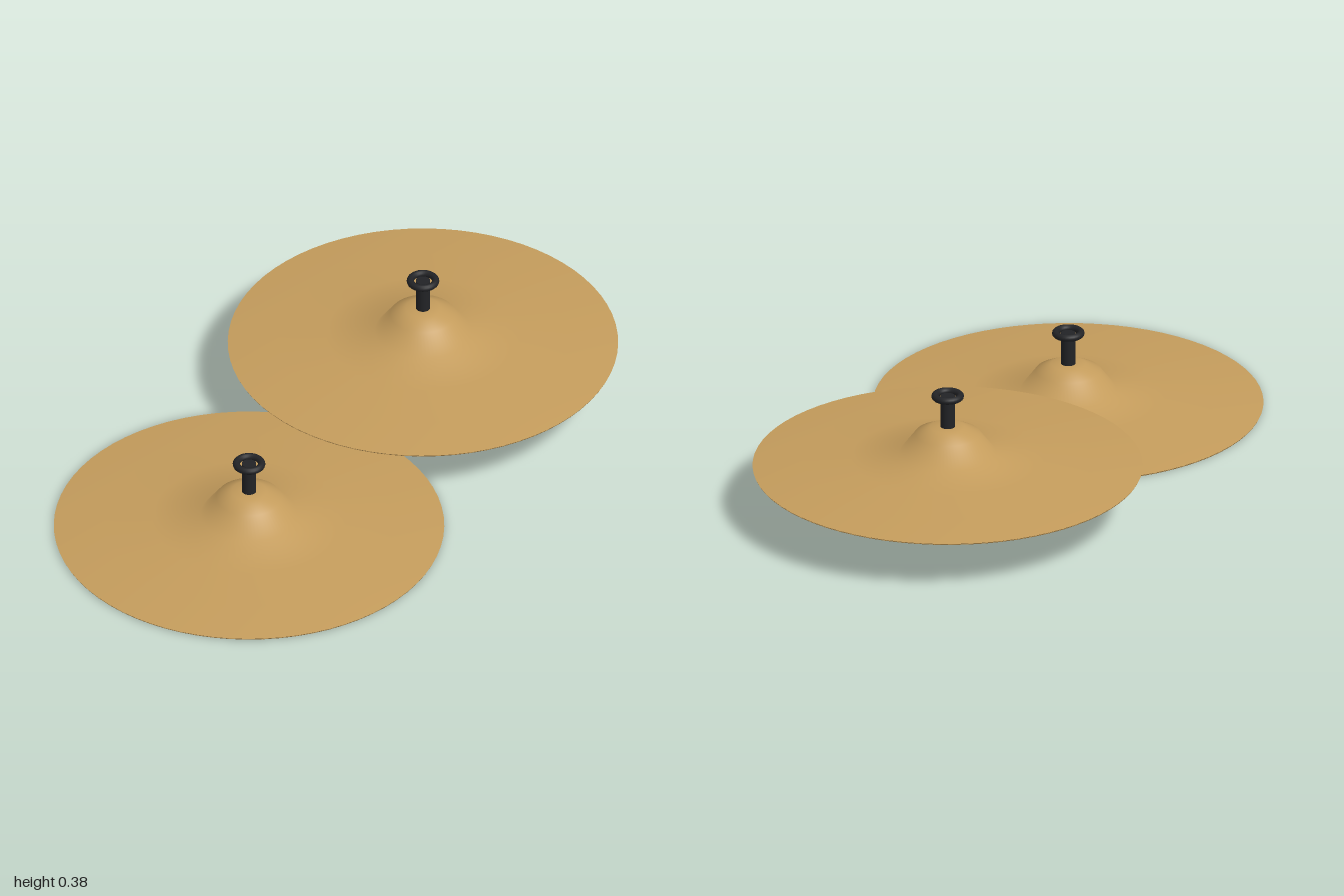
import * as THREE from 'three';

const brass = new THREE.MeshStandardMaterial({ color: 0xc49c5c });
brass.name = 'brass';
const black = new THREE.MeshStandardMaterial({ color: 0x222326 });
black.name = 'black';

// Thin closed shell: underside from the bell out to the rim, then back over the top
const shellProfile = [
  [0.015, 0.121], [0.048, 0.121], [0.09, 0.1], [0.136, 0.039], [0.28, 0.025], [0.42, 0.011], [0.565, 0],
  [0.567, 0.004], [0.42, 0.017], [0.28, 0.031], [0.14, 0.045], [0.095, 0.105], [0.05, 0.127], [0.015, 0.127],
].map(([r, y]) => new THREE.Vector2(r, y));

function createCymbal(name) {
  const group = new THREE.Group();
  group.name = name;
  const add = (part, geometry, material, y = 0) => {
    const mesh = new THREE.Mesh(geometry, material);
    mesh.name = part;
    mesh.position.y = y;
    group.add(mesh);
  };
  add('cymbalPlate', new THREE.LatheGeometry(shellProfile, 72), brass);
  // Post through the bell, with a ring on top
  add('post', new THREE.CylinderGeometry(0.021, 0.021, 0.112, 24), black, 0.168);
  add('postRing', new THREE.TorusGeometry(0.037, 0.0105, 12, 32).rotateX(Math.PI / 2), black, 0.223);
  return group;
}

export function createModel() {
  const model = new THREE.Group();
  model.name = 'cymbalPair';
  const low = createCymbal('lowCymbal');
  low.position.set(-0.433, 0, 0);
  const high = createCymbal('highCymbal');
  high.position.set(0.433, 0.15, 0);
  model.add(low, high);
  return model;
}
